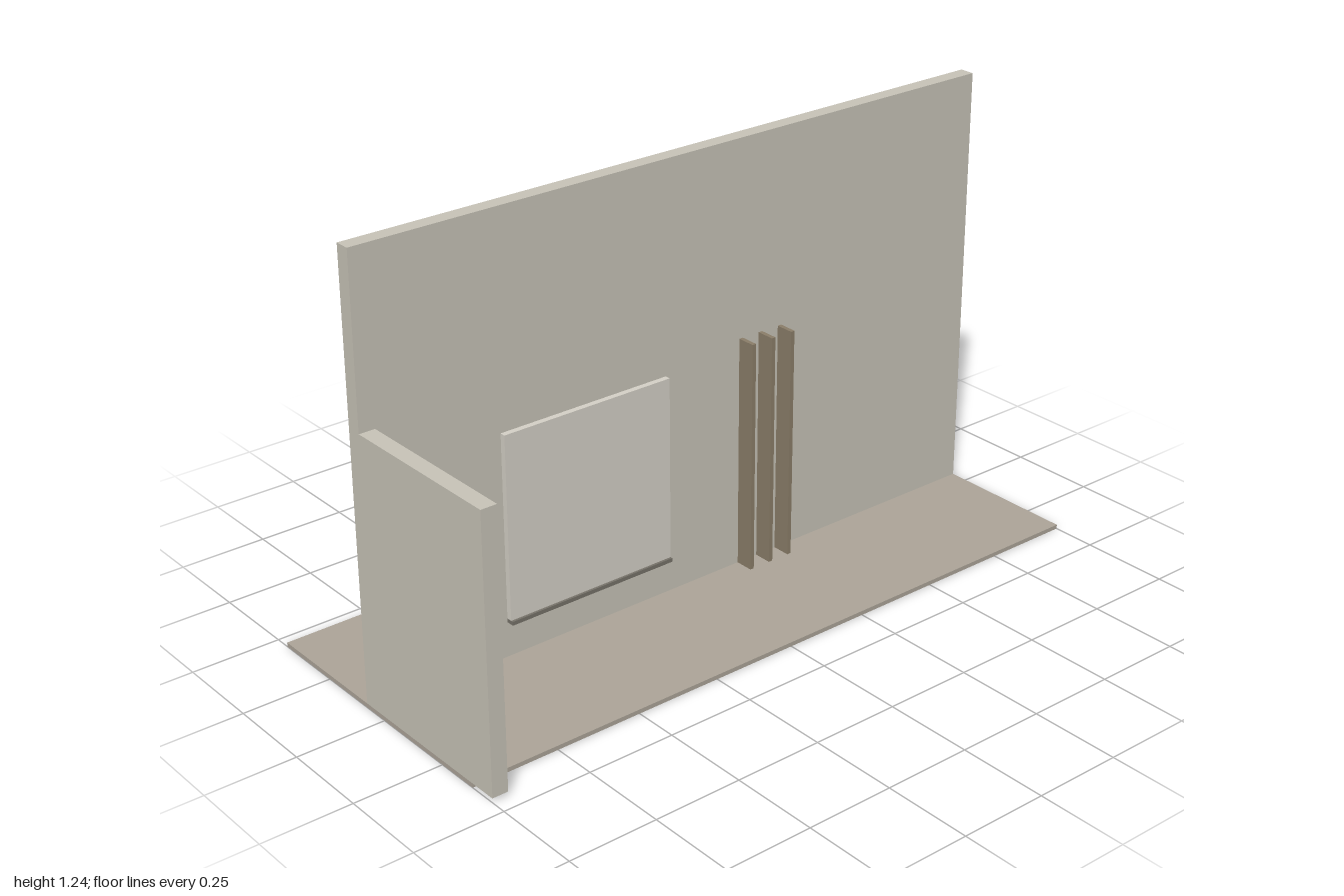
import * as THREE from 'three';

const plaster = new THREE.MeshStandardMaterial({ color: 0xc9c5b9 });
const stone = new THREE.MeshStandardMaterial({ color: 0xaea69a });
const pale = new THREE.MeshStandardMaterial({ color: 0xd6d2c8 });
const wood = new THREE.MeshStandardMaterial({ color: 0x8c7f6a });
const dark = new THREE.MeshStandardMaterial({ color: 0x77736a });

// Box given by its min and max on each axis
function block(name, material, [x0, x1], [y0, y1], [z0, z1]) {
  const mesh = new THREE.Mesh(new THREE.BoxGeometry(x1 - x0, y1 - y0, z1 - z0), material);
  mesh.position.set((x0 + x1) / 2, (y0 + y1) / 2, (z0 + z1) / 2);
  mesh.name = name;
  return mesh;
}

export function createModel() {
  const model = new THREE.Group();
  model.name = 'wallDisplay';
  const floorTop = 0.012;
  const wallFront = -0.035;

  // Floor slab, main wall and the short return wall
  model.add(
    block('floor', stone, [-1, 1], [0, floorTop], [-0.455, 0.375]),
    block('backWall', plaster, [-1, 1], [floorTop, 1.235], [-0.077, wallFront]),
    block('sideWall', plaster, [-1, -0.955], [floorTop, 0.768], [wallFront, 0.455])
  );

  // Mounted panel with a thin ledge below it
  model.add(
    block('wallPanel', pale, [-0.6, -0.08], [0.123, 0.645], [wallFront, -0.019]),
    block('panelLedge', dark, [-0.6, -0.08], [0.112, 0.123], [wallFront, -0.012])
  );

  // Three upright slats
  const slats = new THREE.Group();
  slats.name = 'slats';
  for (let i = 0; i < 3; i++) {
    const x = 0.175 + i * 0.067;
    slats.add(block('slat', wood, [x - 0.006, x + 0.006], [floorTop, 0.68], [wallFront, 0.018]));
  }
  model.add(slats);
  return model;
}
